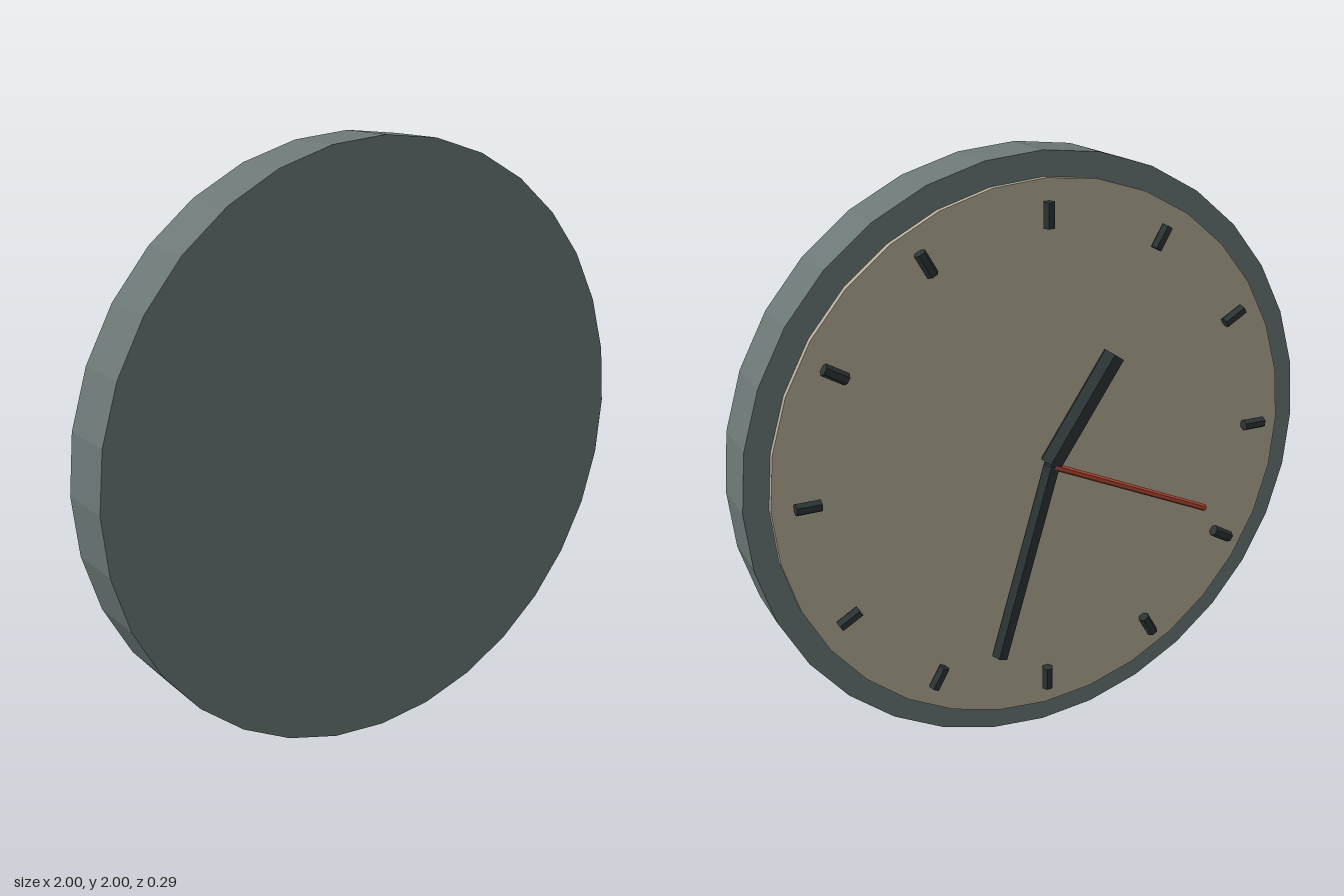
import * as THREE from 'three';

const material = (color) => new THREE.MeshStandardMaterial({ color, flatShading: true });

export function createModel() {
  const clock = new THREE.Group();
  clock.name = 'wallClock';
  const caseGrey = material(0x6b7776);
  const cream = material(0xb3ac97);
  const dark = material(0x2c3435);
  const red = material(0xb84a33);

  // Flat 32-sided disc between two depths
  const disc = (name, radius, zBack, zFace, mat) => {
    const geometry = new THREE.CylinderGeometry(radius, radius, zBack - zFace, 32);
    geometry.rotateX(Math.PI / 2);
    const mesh = new THREE.Mesh(geometry, mat);
    mesh.name = name;
    mesh.position.set(0, 1, (zBack + zFace) / 2);
    clock.add(mesh);
  };

  // Hexagonal rod pointing outward from the centre; the dial faces -z,
  // so a positive angle runs clockwise as the dial is read
  const rod = (name, radius, from, to, degrees, z, mat) => {
    const geometry = new THREE.CylinderGeometry(radius, radius, to - from, 6, 1, false, Math.PI / 2);
    geometry.translate(0, (from + to) / 2, 0);
    const mesh = new THREE.Mesh(geometry, mat);
    mesh.name = name;
    mesh.position.set(0, 1, z);
    mesh.rotation.z = THREE.MathUtils.degToRad(degrees);
    clock.add(mesh);
  };

  // Case and dial
  disc('case', 1, 0.145, -0.055, caseGrey);
  disc('dial', 0.92, -0.055, -0.075, cream);

  // Hour markers
  for (let i = 0; i < 12; i++) rod(`hourMarker${i + 1}`, 0.02, 0.77, 0.85, (i + 1) * 30, -0.093, dark);

  // Hands
  rod('hourHand', 0.04, 0, 0.41, 34, -0.11, dark);
  rod('minuteHand', 0.03, 0, 0.69, 196.3, -0.119, dark);
  rod('secondHand', 0.012, 0, 0.65, 114, -0.135, red);

  return clock;
}
